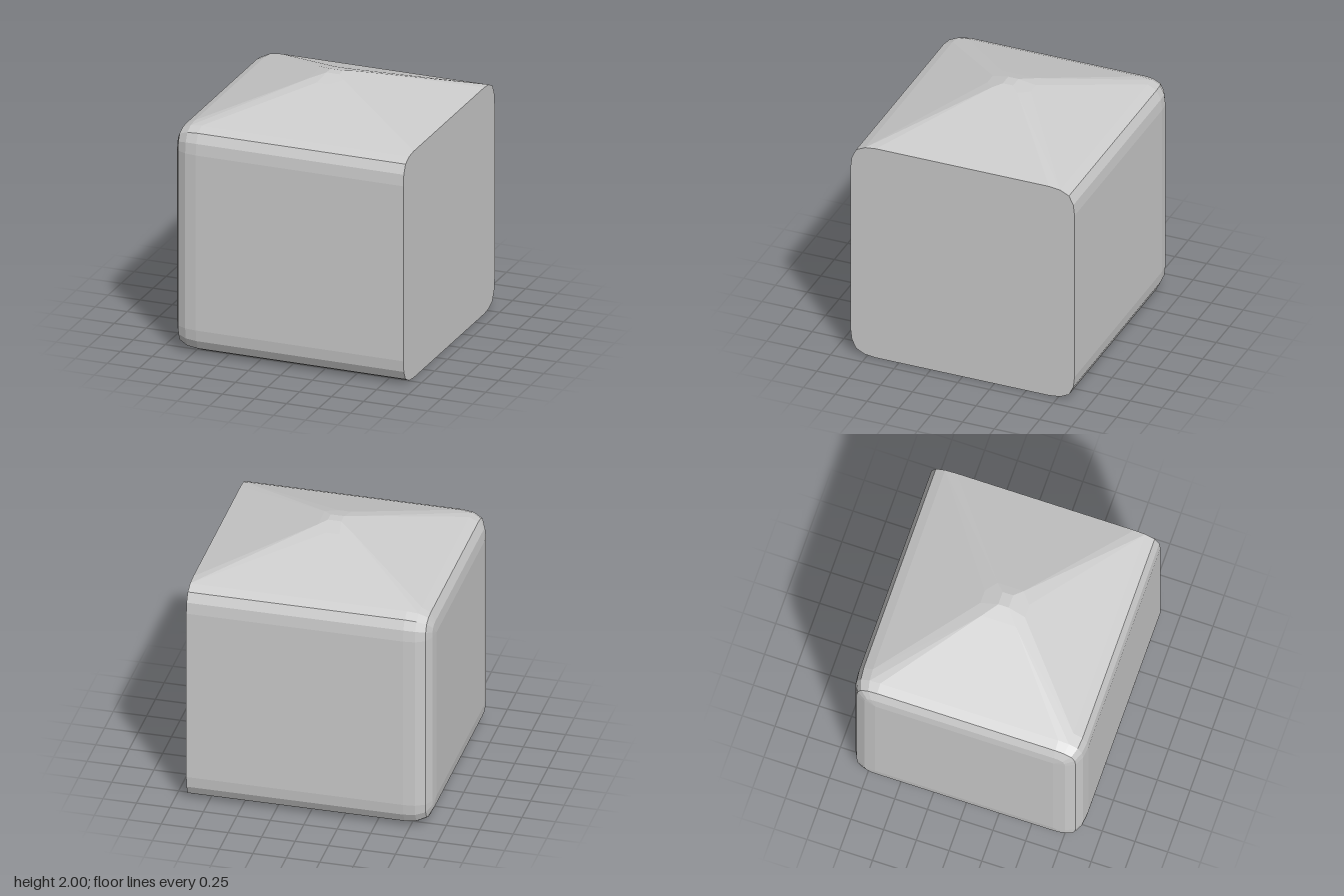
import * as THREE from 'three';
import { ConvexGeometry } from 'three/addons/geometries/ConvexGeometry.js';

const R = 0.2; // edge rounding
// Quarter-round steps: [along, across]
const STEPS = [[1, 0], [0.95, 0.43], [0.78, 0.78], [0.43, 0.95], [0, 1]];

// Rounded-square cross-section at x, its corners having the given radius
function section(x, radius) {
  const points = [];
  for (const side of [-1, 1]) {
    for (const [a, b] of STEPS) {
      const z = side * (0.68 + radius * a);
      points.push(new THREE.Vector3(x, 1.56 + radius * b, z));
      points.push(new THREE.Vector3(x, 0.2 - radius * b, z));
    }
  }
  return points;
}

export function createModel() {
  const group = new THREE.Group();
  const points = [];

  // Rounded end, then the straight run to the flat cut end
  for (const [a, b] of STEPS) points.push(...section(-0.71 - R * a, R * b));
  points.push(...section(0.91, R));

  // Blunted peak of the pyramid roof
  const peak = [
    [-0.03, 2, 0.04], [0.07, 2, 0.04],
    [-0.14, 1.967, 0.13], [-0.05, 1.967, 0.17],
    [0.05, 1.967, 0.17], [0.13, 1.985, 0.1],
  ];
  for (const [x, y, z] of peak) {
    points.push(new THREE.Vector3(x, y, z), new THREE.Vector3(x, y, -z));
  }

  const block = new THREE.Mesh(
    new ConvexGeometry(points),
    new THREE.MeshStandardMaterial({ color: 0xcccccc, flatShading: true })
  );
  block.name = 'roundedBlock';
  group.add(block);
  return group;
}
